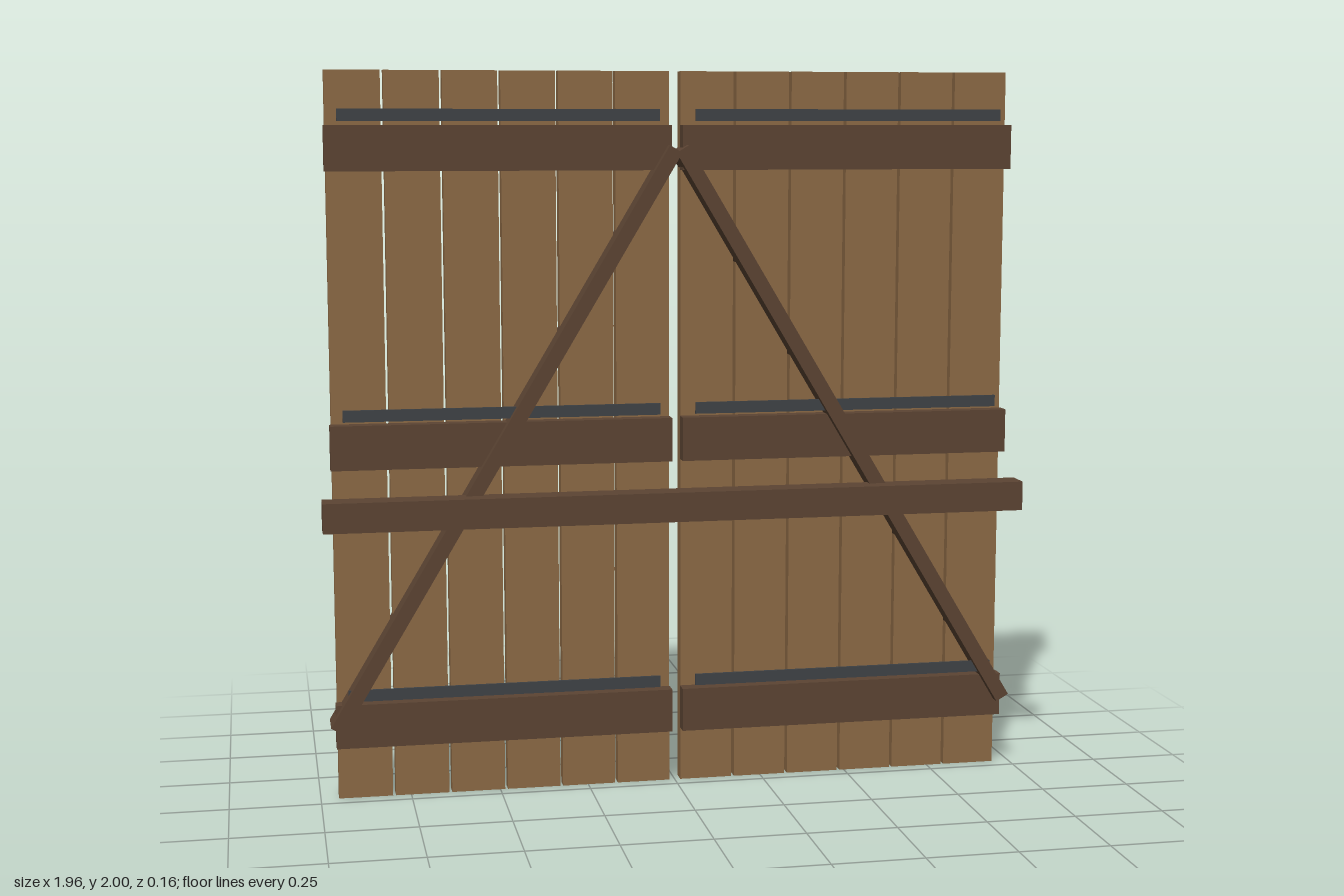
import * as THREE from 'three';

export function createModel() {
  const model = new THREE.Group();
  model.name = 'doubleBarnDoor';

  const material = (name, color) => {
    const m = new THREE.MeshStandardMaterial({ color });
    m.name = name;
    return m;
  };
  const plankWood = material('plank wood', 0x8b6945);
  const darkWood = material('dark wood', 0x5c4433);
  const iron = material('iron', 0x3f4246);

  // Box given by its extents on each axis
  function addBox(parent, name, mat, [x0, x1], [y0, y1], [z0, z1]) {
    const mesh = new THREE.Mesh(new THREE.BoxGeometry(x1 - x0, y1 - y0, z1 - z0), mat);
    mesh.position.set((x0 + x1) / 2, (y0 + y1) / 2, (z0 + z1) / 2);
    mesh.name = name;
    parent.add(mesh);
    return mesh;
  }

  for (const side of [1, -1]) {
    const leaf = new THREE.Group();
    leaf.name = side > 0 ? 'leftLeaf' : 'rightLeaf';
    model.add(leaf);
    const span = (a, b) => (side > 0 ? [a, b] : [-b, -a]);

    // Six upright planks with narrow gaps
    for (let i = 0; i < 6; i++) {
      const x = 0.483 + (i - 2.5) * 0.157;
      addBox(leaf, 'plank', plankWood, span(x - 0.0745, x + 0.0745), [0, 2], [-0.082, -0.042]);
    }

    // Three cross rails, each with an iron strap above
    for (const y of [0.214, 0.988, 1.793]) {
      addBox(leaf, 'rail', darkWood, span(0.015, 0.955), [y - 0.061, y + 0.061], [-0.042, 0]);
      addBox(leaf, 'hingeStrap', iron, span(0.05, 0.92), [y + 0.072, y + 0.104], [0, 0.007]);
    }

    // Diagonal brace from the top centre to the outer bottom corner
    const brace = addBox(leaf, 'brace', darkWood, [-0.02, 0.02], [-0.92, 0.92], [-0.07, 0.03]);
    brace.position.x = side * 0.481;
    brace.position.y = 1.0;
    brace.rotation.z = side * Math.atan2(0.513, 0.858);
  }

  // Locking bar across both leaves
  addBox(model, 'lockingBar', darkWood, [-0.982, 0.982], [0.77, 0.852], [0.006, 0.082]);

  return model;
}
